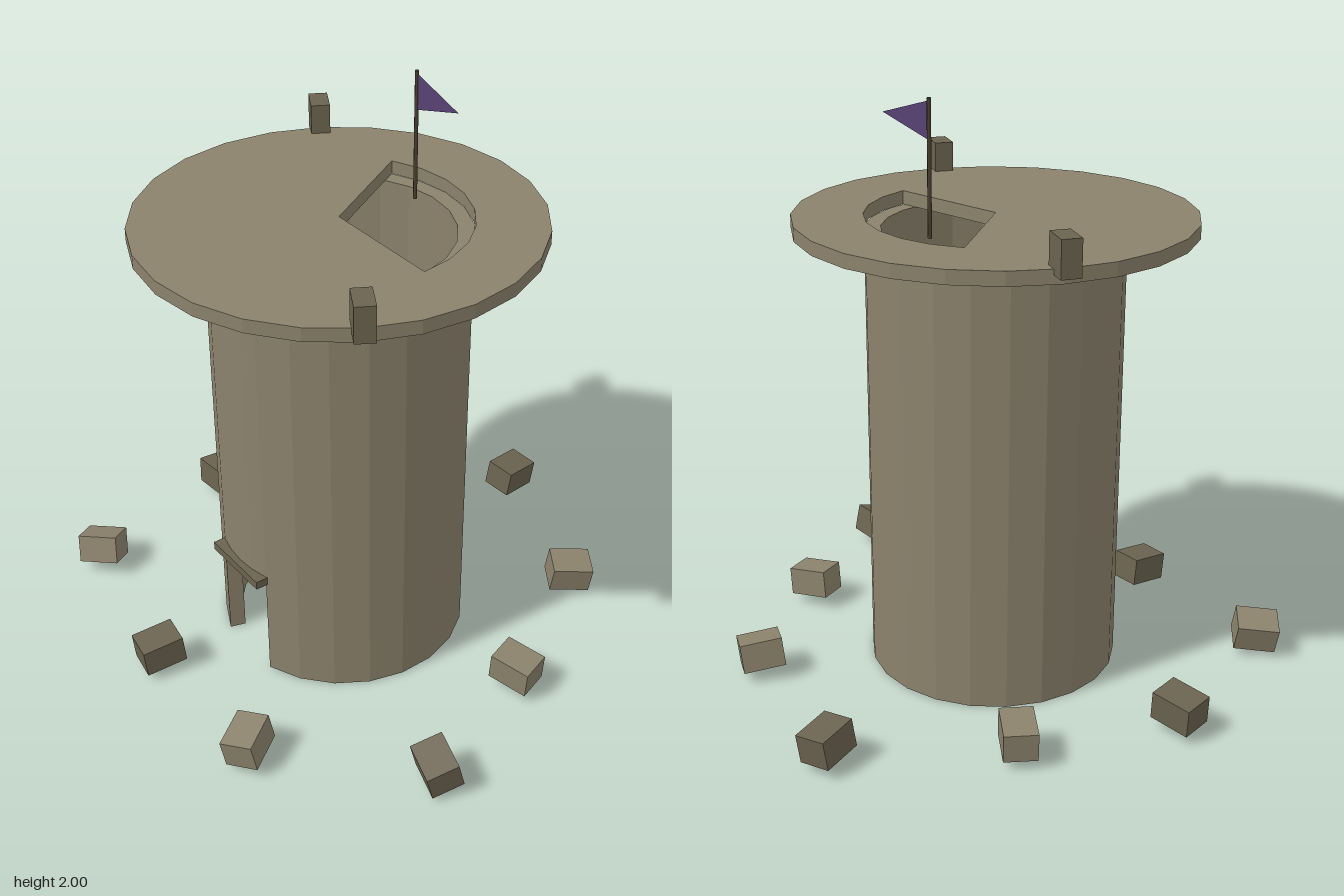
import * as THREE from 'three';

const CX = -0.04, CZ = 0.1; // tower axis
const OUTER = 0.43, INNER = 0.375, DOOR = 0.3;

const mat = (name, color, side = THREE.FrontSide) => {
  const m = new THREE.MeshStandardMaterial({ color, side });
  m.name = name;
  return m;
};

// points along an arc; angle 0 is +x and a quarter turn is the back
function arc(r, from, to, n) {
  const pts = [];
  for (let i = 0; i <= n; i++) {
    const a = from + (to - from) * i / n;
    pts.push(new THREE.Vector2(r * Math.cos(a), r * Math.sin(a)));
  }
  return pts;
}

// upright prism standing on y0
function prism(shape, y0, y1) {
  const g = new THREE.ExtrudeGeometry(shape, { depth: y1 - y0, bevelEnabled: false });
  g.rotateX(-Math.PI / 2);
  g.translate(CX, y0, CZ);
  return g;
}

function ringSector(from, to, n, y0, y1) {
  const pts = [...arc(OUTER, from, to, n), ...arc(INNER, to, from, n)];
  return prism(new THREE.Shape(pts), y0, y1);
}

export function createModel() {
  const group = new THREE.Group();
  const stone = mat('stone', 0x8b826c);
  const darkStone = mat('dark stone', 0x6b6350);
  const wood = mat('pole wood', 0x4a3f2f);
  const cloth = mat('purple cloth', 0x574173, THREE.DoubleSide);

  const add = (name, geo, m, x = 0, y = 0, z = 0) => {
    const mesh = new THREE.Mesh(geo, m);
    mesh.name = name;
    mesh.position.set(x, y, z);
    group.add(mesh);
    return mesh;
  };

  // hollow tower with a doorway at the front
  const h = Math.PI / 2;
  add('towerWall', ringSector(-h + DOOR, 3 * h - DOOR, 20, 0, 1.54), stone);
  add('wallAboveDoor', ringSector(-h - DOOR, -h + DOOR, 4, 0.38, 1.54), stone);
  add('doorLintel', new THREE.BoxGeometry(0.265, 0.03, 0.08), darkStone, CX, 0.395, 0.512);

  // platform with a broken-out wedge
  const disc = new THREE.Shape(arc(0.665, 0, Math.PI * 2, 24).slice(0, -1));
  const wedge = [new THREE.Vector2(0, 0), ...arc(OUTER, 0, Math.PI * 2 / 3, 8)];
  disc.holes.push(new THREE.Path(wedge.reverse()));
  add('platform', prism(disc, 1.54, 1.587), stone);

  // two remaining battlements on the rim
  for (const deg of [-30, 150]) {
    const a = deg * Math.PI / 180;
    const b = add('battlement', new THREE.BoxGeometry(0.105, 0.12, 0.065), darkStone,
      CX + 0.668 * Math.cos(a), 1.63, CZ - 0.668 * Math.sin(a));
    b.rotation.y = a;
  }

  // flag
  add('flagPole', new THREE.CylinderGeometry(0.007, 0.007, 0.44, 6), wood, CX + 0.003, 1.78, -0.2);
  const pennant = new THREE.Shape([[0, 0.06], [0, -0.06], [0.2, 0]].map(p => new THREE.Vector2(...p)));
  add('flag', new THREE.ShapeGeometry(pennant), cloth, -0.033, 1.93, -0.2);

  // fallen blocks: angle in degrees, distance, roll, dark or not
  const rubble = [
    [17, 0.74, 0.05, 0], [58, 0.83, 0.15, 0], [98.6, 0.93, 0.1, 1],
    [139, 0.73, 0, 0], [180, 0.825, 0.08, 1], [220, 0.93, 0.3, 0],
    [261.6, 0.72, 0, 1], [302, 0.83, 0.15, 0], [342.6, 0.935, 0.25, 1],
  ];
  for (const [deg, r, roll, dark] of rubble) {
    const a = deg * Math.PI / 180;
    const block = add('fallenBlock', new THREE.BoxGeometry(0.145, 0.1, 0.112), dark ? darkStone : stone,
      CX + r * Math.cos(a), 0.088, CZ - r * Math.sin(a));
    block.rotation.set(roll, a, -0.1, 'YXZ');
  }
  return group;
}
